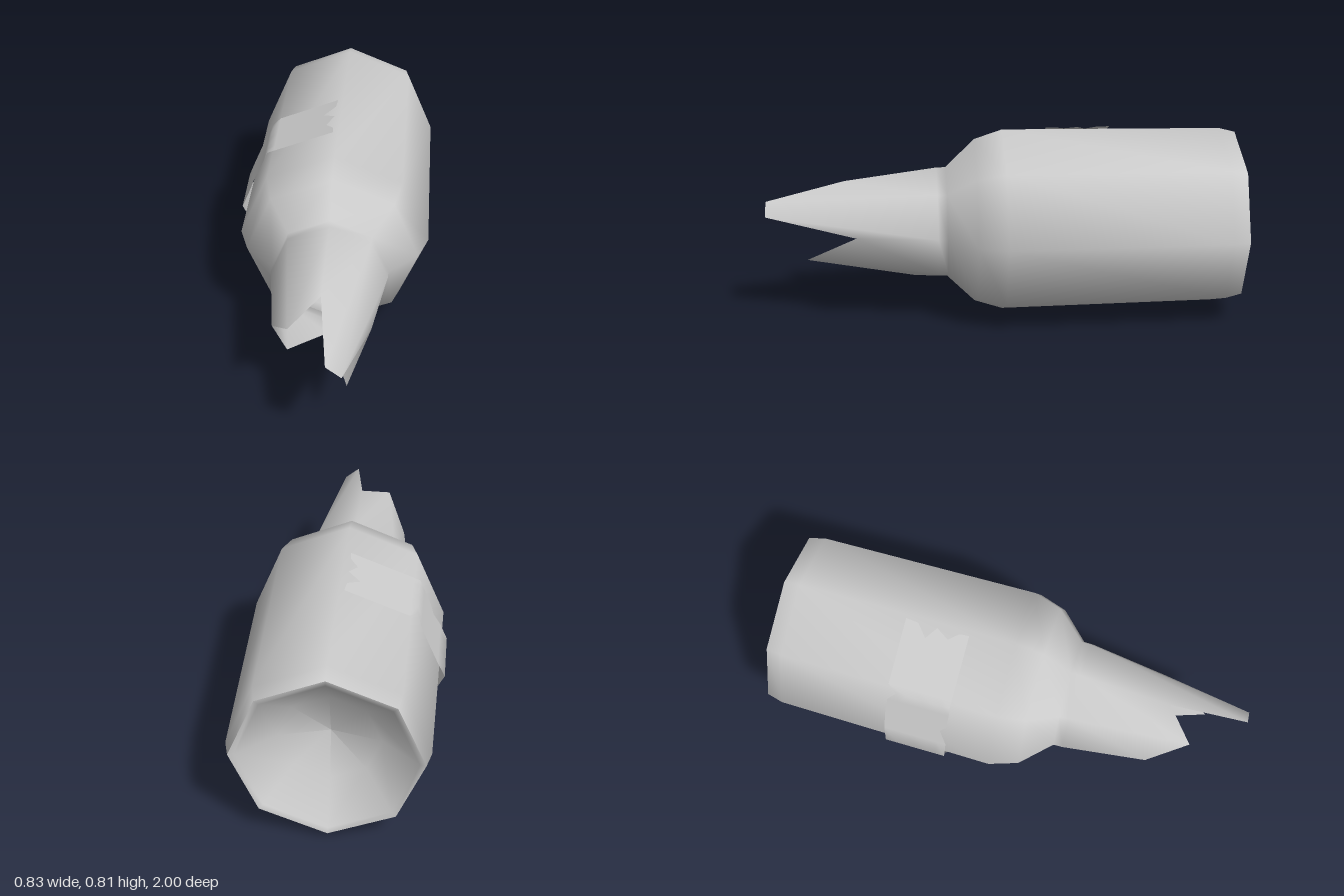
import * as THREE from 'three';

const SIDES = 8;
const CX = 0.01, CY = 0.407;

const makeMesh = (name, positions, index) => {
  const g = new THREE.BufferGeometry();
  g.setAttribute('position', new THREE.Float32BufferAttribute(positions, 3));
  g.setIndex(index);
  g.computeVertexNormals();
  const mesh = new THREE.Mesh(g, new THREE.MeshStandardMaterial({ color: 0xcccccc, side: THREE.DoubleSide }));
  mesh.name = name;
  return mesh;
};

// Octagonal shell with a snapped-off neck
function glassShell() {
  // [radius, z] from the base rim up to the neck
  const profile = [[0.375, -1], [0.393, -0.93], [0.405, 0], [0.365, 0.12], [0.245, 0.24], [0.244, 0.28]];
  // Broken edge: [x, y, z, side it grows from], counter-clockwise from +x
  const edge = [
    [0.195, 0, 0.62, 0], [0.105, 0.073, 1, 1], [0.043, 0.122, 1, 1], [0, 0.193, 0.67, 2],
    [-0.12, 0.12, 0.79, 3], [-0.2, 0, 0.63, 4], [-0.145, -0.145, 0.6, 5],
    [0, -0.241, 0.37, 6], [0.113, -0.117, 0.83, 7],
  ];
  const pos = [], index = [];
  for (const [r, z] of profile) {
    for (let i = 0; i < SIDES; i++) {
      const a = (i / SIDES) * Math.PI * 2;
      pos.push(CX + r * Math.cos(a), CY + r * Math.sin(a), z);
    }
  }
  for (let j = 0; j < profile.length - 1; j++) {
    for (let i = 0; i < SIDES; i++) {
      const k = (i + 1) % SIDES;
      const a = j * SIDES + i, b = j * SIDES + k;
      index.push(a, b, b + SIDES, a, b + SIDES, a + SIDES);
    }
  }
  const top = (profile.length - 1) * SIDES, rim = profile.length * SIDES;
  for (const [x, y, z] of edge) pos.push(CX + x, CY + y, z);
  edge.forEach((e, i) => {
    const n = (i + 1) % edge.length;
    const a = top + e[3], b = top + edge[n][3];
    if (a !== b) index.push(a, b, rim + n);
    index.push(a, rim + n, rim + i);
  });
  return makeMesh('glassShell', pos, index);
}

// Hollow base pushed up into the body
function hollowBase() {
  const points = [[0.375, -1], [0.35, -0.995], [0.2, -0.87], [0, -0.82]].map(([r, z]) => new THREE.Vector2(r, z));
  const g = new THREE.LatheGeometry(points, SIDES).rotateX(Math.PI / 2).translate(CX, CY, 0);
  const mesh = new THREE.Mesh(g, new THREE.MeshStandardMaterial({ color: 0xcccccc, side: THREE.DoubleSide }));
  mesh.name = 'hollowBase';
  return mesh;
}

// Torn paper label around the right half
function tornLabel() {
  const R = 0.405, corner = (i) => {
    const a = Math.PI / 2 + (i * Math.PI) / 4;
    return new THREE.Vector2(-0.01 + R * Math.cos(a), CY + R * Math.sin(a));
  };
  // [place along the sides, back edge z, front edge z]
  const columns = [
    [0, -0.46, -0.19], [0.4, -0.46, -0.19], [0.9, -0.46, -0.19], [1, -0.42, -0.19], [1.15, -0.455, -0.19],
    [1.4, -0.46, -0.195], [1.5, -0.46, -0.22], [1.75, -0.46, -0.19], [2, -0.45, -0.19],
    [2.4, -0.42, -0.21], [2.7, -0.45, -0.19], [3, -0.46, -0.2], [3.4, -0.43, -0.21], [3.6, -0.46, -0.19], [4, -0.46, -0.19],
  ];
  // [fraction from back to front, depth of the tear at the ends]
  const rows = [[0, 0], [0.2, 0.02], [0.36, 0.19], [0.5, 0.02], [0.7, 0.13], [0.85, 0.02], [1, 0.01]];
  const pos = [], index = [], w = rows.length;
  columns.forEach(([s, back, front], c) => {
    for (const [t, tear] of rows) {
      const u = c === 0 ? tear : c === columns.length - 1 ? 4 - tear : s;
      const i = Math.min(3, Math.floor(u));
      const p = corner(i).lerp(corner(i + 1), u - i);
      pos.push(p.x, p.y, back + (front - back) * t);
    }
  });
  for (let c = 0; c < columns.length - 1; c++) {
    for (let r = 0; r < w - 1; r++) {
      const a = c * w + r, b = a + w;
      index.push(a, b, b + 1, a, b + 1, a + 1);
    }
  }
  return makeMesh('tornLabel', pos, index);
}

export function createModel() {
  const group = new THREE.Group();
  group.name = 'brokenBottle';
  group.add(glassShell(), hollowBase(), tornLabel());
  return group;
}
